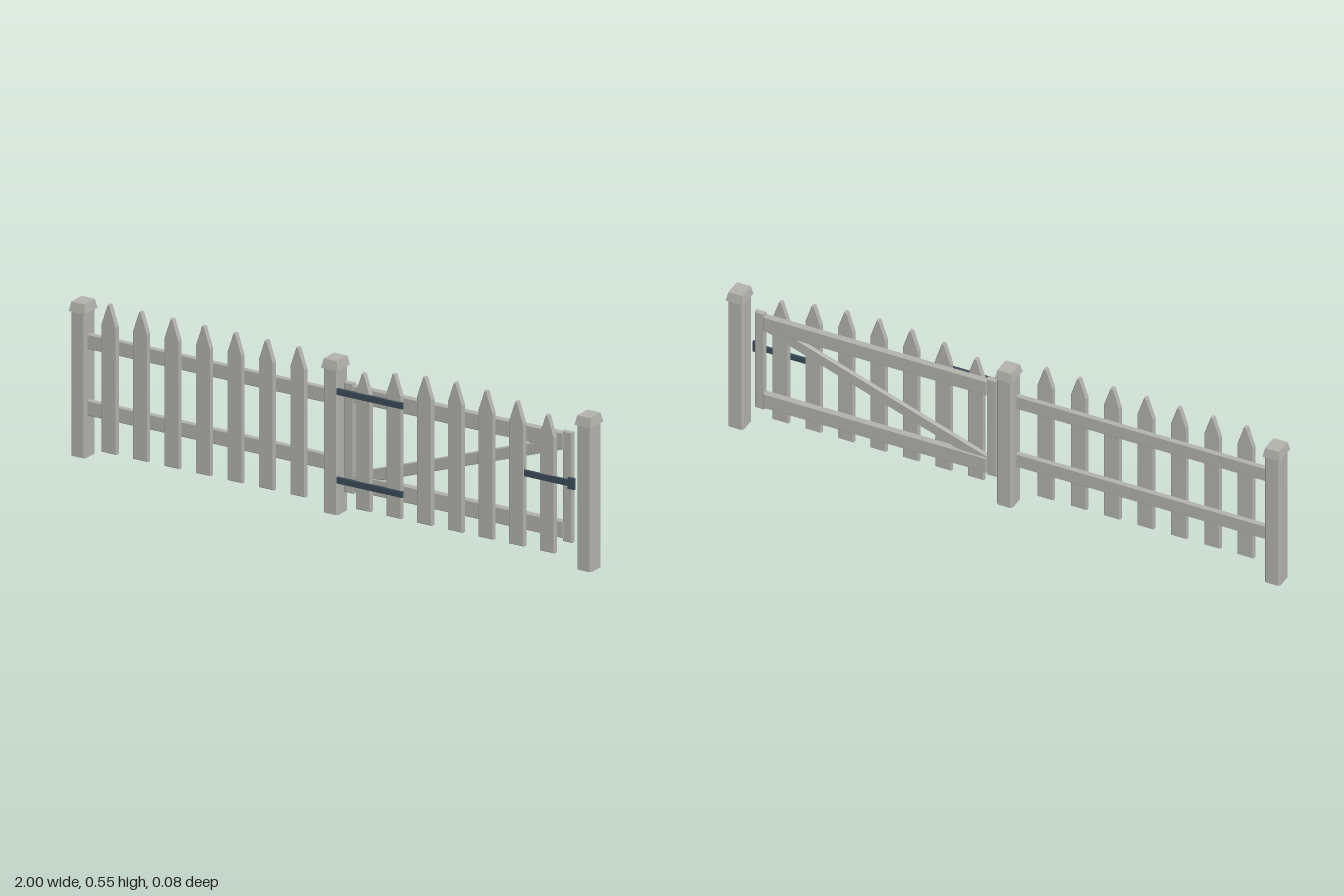
import * as THREE from 'three';

const wood = new THREE.MeshStandardMaterial({ color: 0xb2b2ac });
wood.name = 'weathered wood';
const iron = new THREE.MeshStandardMaterial({ color: 0x3c4c58 });
iron.name = 'dark iron';

// Flat outline in x/y, extruded from z0 to z1 with slightly bevelled edges
function plate(name, points, z0, z1, material = wood, bevel = 0.003) {
  const shape = new THREE.Shape(points.map(([x, y]) => new THREE.Vector2(x, y)));
  const geometry = new THREE.ExtrudeGeometry(shape, {
    depth: z1 - z0 - 2 * bevel, bevelEnabled: bevel > 0, bevelSegments: 1,
    bevelThickness: bevel, bevelSize: bevel, bevelOffset: -bevel,
  });
  geometry.translate(0, 0, z0 + bevel);
  const mesh = new THREE.Mesh(geometry, material);
  mesh.name = name;
  return mesh;
}

function board(name, x0, x1, y0, y1, z0, z1, material = wood, bevel = 0.003) {
  return plate(name, [[x0, y0], [x1, y0], [x1, y1], [x0, y1]], z0, z1, material, bevel);
}

// Pointed picket with a small blunt tip
function picket(x, tip) {
  const w = 0.029, shoulder = tip - 0.072;
  return plate('picket', [
    [x - w, 0.038], [x + w, 0.038], [x + w, shoulder],
    [x + 0.005, tip], [x - 0.005, tip], [x - w, shoulder],
  ], 0.018, 0.036);
}

// Square post with chamfered corners and a tapered cap
function post(x) {
  const group = new THREE.Group();
  group.name = 'post';
  const a = 0.028, b = 0.032, c = 0.006;
  const shaft = plate('postShaft', [
    [-a + c, -b], [a - c, -b], [a, -b + c], [a, b - c],
    [a - c, b], [-a + c, b], [-a, b - c], [-a, -b + c],
  ], 0, 0.5, wood, 0);
  shaft.geometry.rotateX(-Math.PI / 2);

  let geometry = new THREE.CylinderGeometry(0.031 * Math.SQRT2, 0.038 * Math.SQRT2, 0.032, 4);
  geometry.rotateY(Math.PI / 4);
  geometry.scale(0.82, 1, 1);
  geometry.translate(0, 0.516, 0);
  geometry = geometry.toNonIndexed();
  geometry.computeVertexNormals();
  const cap = new THREE.Mesh(geometry, wood);
  cap.name = 'postCap';

  group.add(shaft, cap);
  group.position.x = x;
  return group;
}

export function createModel() {
  const model = new THREE.Group();
  model.name = 'picketFenceWithGate';
  for (const x of [-0.969, -0.002, 0.969]) model.add(post(x));

  // Fixed fence panel
  const fence = new THREE.Group();
  fence.name = 'fencePanel';
  fence.add(board('upperRail', -0.945, -0.025, 0.374, 0.426, 0, 0.018));
  fence.add(board('lowerRail', -0.945, -0.025, 0.144, 0.197, 0, 0.018));
  for (let i = 0; i < 7; i++) fence.add(picket(-0.848 + 0.1205 * i, 0.551));
  model.add(fence);

  // Gate frame and brace
  const gate = new THREE.Group();
  gate.name = 'gate';
  gate.add(board('hingeStile', 0.041, 0.078, 0.08, 0.461, 0, 0.018));
  gate.add(board('latchStile', 0.88, 0.915, 0.08, 0.461, 0, 0.018));
  gate.add(board('upperGateRail', 0.076, 0.882, 0.396, 0.453, -0.005, 0.018));
  gate.add(board('lowerGateRail', 0.076, 0.882, 0.09, 0.148, -0.005, 0.018));
  gate.add(plate('diagonalBrace', [
    [0.058, 0.146], [0.178, 0.146], [0.887, 0.398], [0.767, 0.398],
  ], 0, 0.016));

  // Gate pickets rise towards the middle in an arch
  for (let i = 0; i < 7; i++) {
    gate.add(picket(0.126 + 0.1175 * i, 0.551 - 0.0044 * (i - 3) ** 2));
  }

  // Strap hinges and latch
  for (const y of [0.431, 0.125]) {
    gate.add(board('strapHinge', 0.028, 0.28, y - 0.011, y + 0.011, 0.032, 0.041, iron, 0.001));
  }
  gate.add(board('latchBar', 0.745, 0.93, 0.284, 0.306, 0.032, 0.04, iron, 0.001));
  gate.add(board('latchCatch', 0.913, 0.938, 0.275, 0.314, 0.03, 0.041, iron, 0.001));
  model.add(gate);
  return model;
}
